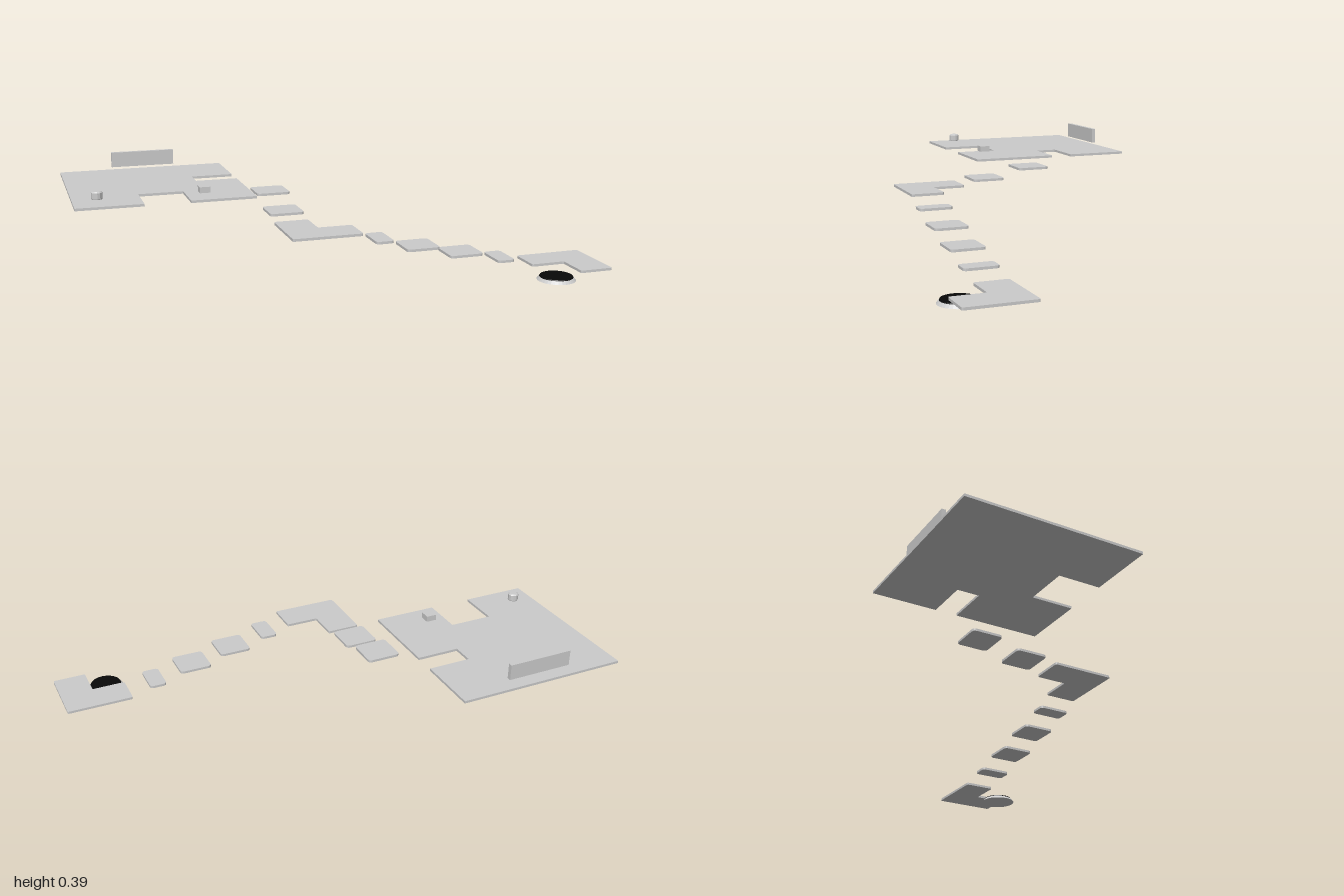
import * as THREE from 'three';

const grey = new THREE.MeshStandardMaterial({ color: 0xcccccc, flatShading: true });
const black = new THREE.MeshStandardMaterial({ color: 0x080808, flatShading: true });

export function createModel() {
  const group = new THREE.Group();

  function add(name, geometry, x = 0, y = 0, z = 0, material = grey) {
    const mesh = new THREE.Mesh(geometry, material);
    mesh.name = name;
    mesh.position.set(x, y, z);
    group.add(mesh);
    return mesh;
  }

  // Flat slab from an outline of [x, z] corners, each corner rounded by r
  function slab(name, points, y, r = 0, thickness = 0.01) {
    const pts = points.map(([x, z]) => new THREE.Vector2(x, -z));
    const shape = new THREE.Shape();
    pts.forEach((p, i) => {
      const prev = pts[(i + pts.length - 1) % pts.length];
      const next = pts[(i + 1) % pts.length];
      const a = prev.clone().sub(p).setLength(r).add(p);
      const b = next.clone().sub(p).setLength(r).add(p);
      if (i === 0) shape.moveTo(a.x, a.y);
      else shape.lineTo(a.x, a.y);
      if (r > 0) shape.quadraticCurveTo(p.x, p.y, b.x, b.y);
    });
    shape.closePath();
    const geometry = new THREE.ExtrudeGeometry(shape, { depth: thickness, bevelEnabled: false, curveSegments: 4 });
    geometry.rotateX(-Math.PI / 2);
    add(name, geometry, 0, y, 0);
  }

  // Large upper platform with a notch in the right and front edges
  slab('mainPlatform', [
    [-1, -0.62], [-0.295, -0.62], [-0.295, -0.36], [-0.47, -0.36], [-0.47, -0.27], [-0.295, -0.27],
    [-0.295, 0.083], [-0.557, 0.083], [-0.557, -0.09], [-0.737, -0.09], [-0.737, 0.083], [-1, 0.083],
  ], 0.3);

  // Floating board and two small pickups above the platform
  add('board', new THREE.BoxGeometry(0.27, 0.064, 0.017), -0.647, 0.361, -0.58);
  add('cubePickup', new THREE.BoxGeometry(0.043, 0.024, 0.043), -0.486, 0.331, -0.014);
  const knob = [[0, 0], [0.021, 0], [0.022, 0.003], [0.022, 0.026], [0.017, 0.031], [0, 0.031]];
  add('roundPickup', new THREE.LatheGeometry(knob.map(([x, y]) => new THREE.Vector2(x, y)), 12), -0.906, 0.32, -0.014);

  // Stepping stones: x min, x max, z min, z max, y
  const stones = [
    [-0.26, -0.123, -0.176, -0.043, 0.278],
    [-0.26, -0.123, 0.025, 0.16, 0.241],
    [0.064, 0.135, 0.339, 0.474, 0.184],
    [0.19, 0.324, 0.339, 0.474, 0.143],
    [0.37, 0.507, 0.339, 0.474, 0.102],
    [0.573, 0.644, 0.339, 0.474, 0.065],
  ];
  stones.forEach(([x0, x1, z0, z1, y], i) =>
    slab(`steppingStone${i + 1}`, [[x0, z0], [x1, z0], [x1, z1], [x0, z1]], y, 0.016));

  // L-shaped corner slabs
  slab('cornerSlab', [
    [-0.26, 0.204], [-0.123, 0.204], [-0.123, 0.336], [0.013, 0.336], [0.013, 0.47], [-0.26, 0.47],
  ], 0.221, 0.008);
  slab('endSlab', [
    [0.724, 0.338], [1, 0.338], [1, 0.604], [0.863, 0.604], [0.863, 0.47], [0.724, 0.47],
  ], 0.036, 0.008);

  // Round pad with sloping rim and dark top
  add('padBase', new THREE.CylinderGeometry(0.066, 0.076, 0.012, 32), 0.79, 0.006, 0.542);
  add('padTop', new THREE.CylinderGeometry(0.064, 0.066, 0.004, 32), 0.79, 0.014, 0.542, black);

  return group;
}
